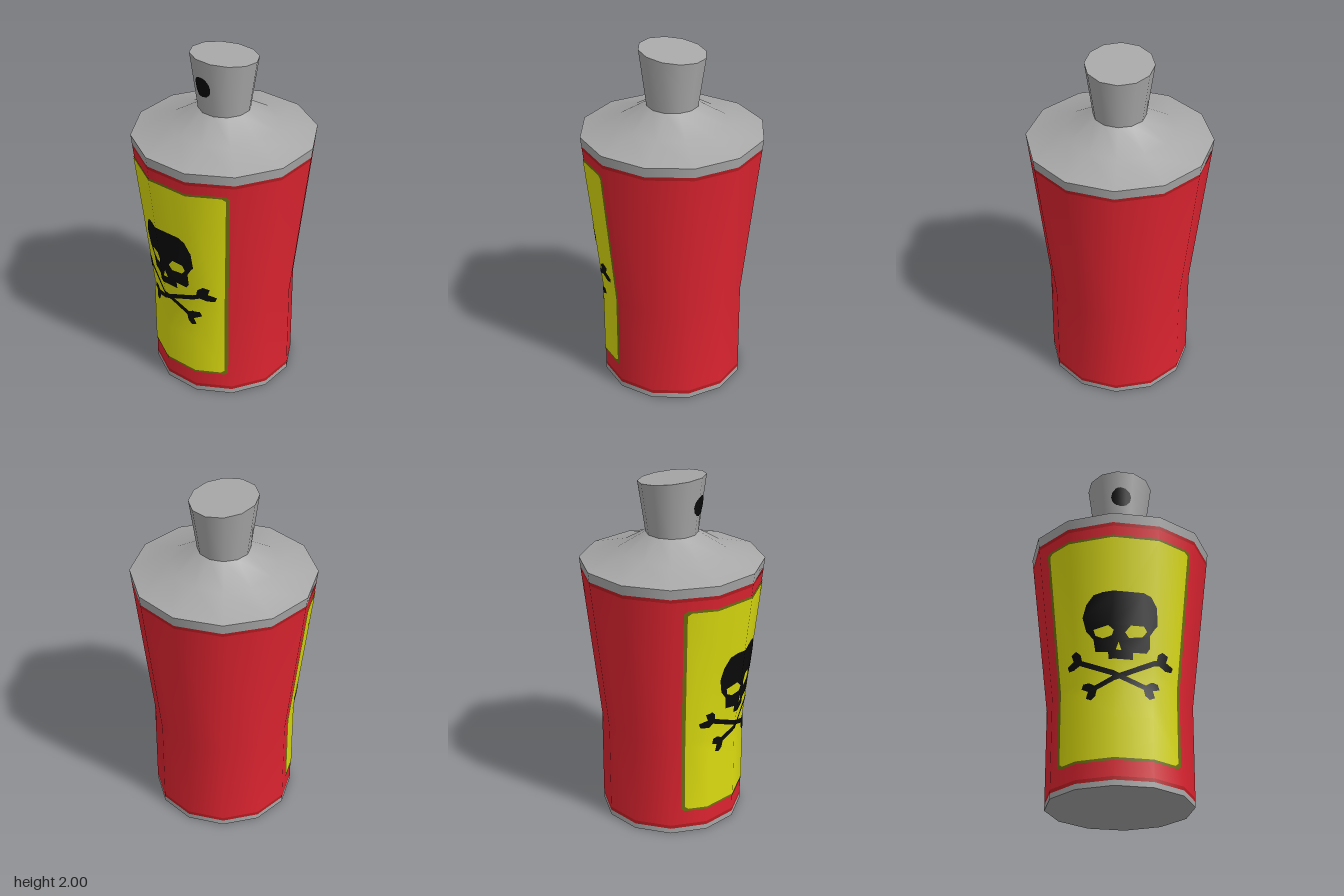
import * as THREE from 'three';

const SIDES = 12;
const mat = (name, color, side = THREE.FrontSide) => {
  const m = new THREE.MeshStandardMaterial({ color, side });
  m.name = name;
  return m;
};

// Radius of the can body and of the nozzle cap at height y
const WAIST = 0.57;
const bodyR = y => 0.405 + Math.max(0, y - WAIST) * (0.108 / 0.955);
const capR = y => 0.145 + (y - 1.675) * (0.042 / 0.325);

// Splits convex polygons by the line f = 0, keeping both halves
function split(polys, f) {
  const out = [];
  for (const poly of polys) {
    for (const s of [1, -1]) {
      const part = [];
      poly.forEach((p, i) => {
        const q = poly[(i + 1) % poly.length];
        const a = s * f(p), b = s * f(q);
        if (a >= 0) part.push(p);
        if (a * b < 0) {
          const t = a / (a - b);
          part.push([p[0] + (q[0] - p[0]) * t, p[1] + (q[1] - p[1]) * t]);
        }
      });
      if (part.length > 2 && part.some(p => s * f(p) > 1e-7)) out.push(part);
    }
  }
  return out;
}

// Lays a flat outline onto the front of the twelve-sided surface, folded at its edges
function decal(outline, holes, radius, lift) {
  const shape = new THREE.Shape(outline.map(p => new THREE.Vector2(...p)));
  for (const h of holes) shape.holes.push(new THREE.Path(h.map(p => new THREE.Vector2(...p))));
  const flat = new THREE.ShapeGeometry(shape).toNonIndexed().attributes.position;
  let polys = [];
  for (let i = 0; i < flat.count; i += 3) {
    polys.push([0, 1, 2].map(k => [flat.getX(i + k), flat.getY(i + k)]));
  }
  polys = split(polys, p => p[1] - WAIST);
  polys = split(polys, p => p[0]);
  polys = split(polys, p => p[0] - radius(p[1]) / 2);
  polys = split(polys, p => p[0] + radius(p[1]) / 2);

  const pos = [], nor = [];
  const put = ([x, y]) => {
    const r = radius(y), a = Math.abs(x);
    const z = Math.min(r - 0.268 * a, 1.366 * r - a);
    const slope = (radius(y + 0.05) - radius(y - 0.05)) / 0.1;
    const n = new THREE.Vector3(x / r, -slope, z / r).normalize();
    pos.push(x, y, z + lift);
    nor.push(n.x, n.y, n.z);
  };
  for (const p of polys) {
    for (let i = 1; i < p.length - 1; i++) [p[0], p[i], p[i + 1]].forEach(put);
  }
  const g = new THREE.BufferGeometry();
  g.setAttribute('position', new THREE.Float32BufferAttribute(pos, 3));
  g.setAttribute('normal', new THREE.Float32BufferAttribute(nor, 3));
  return g;
}

// Label outline, inset by d, with clipped corners
function labelOutline(d) {
  const c = 0.015, t = 1.395 - d, b = 0.135 + d;
  const l = y => -0.765 * bodyR(y) + d, r = y => 0.832 * bodyR(y) - d;
  return [[l(b) + c, b], [r(b) - c, b], [r(b), b + c], [r(WAIST), WAIST], [r(t), t - c],
    [r(t) - c, t], [l(t) + c, t], [l(t), t - c], [l(WAIST), WAIST], [l(b), b + c]];
}

// Bone outline with a forked knob at each end
function bone(x0, y0, x1, y1) {
  const len = Math.hypot(x1 - x0, y1 - y0), ux = (x1 - x0) / len, uy = (y1 - y0) / len;
  const end = [[0, 0], [-0.025, -0.03], [-0.005, -0.052], [0.025, -0.042], [0.045, -0.014]];
  const half = [...end, ...end.slice(1).reverse().map(([s, w]) => [len - s, w])];
  const full = [...half, ...half.map(([s, w]) => [len - s, -w])];
  return full.map(([s, w]) => [x0 + ux * s - uy * w, y0 + uy * s + ux * w]);
}

export function createModel() {
  const model = new THREE.Group();
  const grey = mat('metal grey', 0xa8a8a8);
  const red = mat('can red', 0xde2430);
  const darkRed = mat('trim dark red', 0xb81c22);
  const yellow = mat('label yellow', 0xdcdc10);
  const olive = mat('label edge olive', 0x70700f);
  const black = mat('print black', 0x0a0a0a);

  const add = (name, geometry, material) => {
    const mesh = new THREE.Mesh(geometry, material);
    mesh.name = name;
    model.add(mesh);
    return mesh;
  };
  const lathe = pts => new THREE.LatheGeometry(pts.map(p => new THREE.Vector2(...p)), SIDES);
  const wall = (...ys) => lathe(ys.map(y => [bodyR(y), y]));

  // Can body, from the base upwards
  add('base', lathe([[0, 0], [0.405, 0]]), grey);
  add('bottomRim', wall(0, 0.03), grey);
  add('lowerTrim', wall(0.03, 0.05), darkRed);
  add('body', wall(0.05, WAIST, 1.45), red);
  add('upperTrim', wall(1.45, 1.47), darkRed);
  add('topRim', wall(1.47, 1.525), grey);
  add('shoulder', lathe([[0.513, 1.525], [0.3, 1.582], [0.145, 1.675]]), grey);

  // Nozzle cap, its top sloping down to the back
  const slant = g => {
    const p = g.attributes.position;
    for (let i = 0; i < p.count; i++) {
      if (p.getY(i) > 1.9) p.setY(i, p.getY(i) + 0.122 * p.getZ(i));
    }
    g.computeVertexNormals();
    return g;
  };
  const capSide = lathe([[0.145, 1.675], [0.187, 1.978]]);
  const smooth = capSide.attributes.normal.clone();
  slant(capSide).setAttribute('normal', smooth);
  add('cap', capSide, grey);
  add('capTop', slant(lathe([[0.187, 1.978], [0, 1.978]])), grey);

  // Spray hole
  const dot = Array.from({ length: 12 }, (_, i) => {
    const a = i * Math.PI / 6;
    return [0.02 + 0.058 * Math.cos(a), 1.84 + 0.06 * Math.sin(a)];
  });
  add('sprayHole', decal(dot, [], capR, 0.004), black);

  // Label with its dark edge
  add('labelEdge', decal(labelOutline(0), [], bodyR, 0.003), olive);
  add('label', decal(labelOutline(0.014), [], bodyR, 0.005), yellow);

  // Warning sign: skull with eye and nose openings over crossed bones
  const skull = [[-0.06, 1.07], [0.16, 1.07], [0.2, 1.05], [0.23, 0.99], [0.23, 0.89], [0.19, 0.83],
    [0.19, 0.76], [0.17, 0.73], [0.1, 0.73], [0.1, 0.69], [-0.03, 0.69], [-0.03, 0.73],
    [-0.1, 0.74], [-0.11, 0.81], [-0.15, 0.86], [-0.17, 0.94], [-0.15, 1.01], [-0.11, 1.06]];
  const openings = [
    [[-0.11, 0.865], [-0.03, 0.88], [0, 0.85], [-0.01, 0.82], [-0.06, 0.81], [-0.1, 0.83]],
    [[0.06, 0.84], [0.09, 0.88], [0.16, 0.88], [0.175, 0.85], [0.15, 0.82], [0.08, 0.81]],
    [[0.025, 0.785], [0.04, 0.74], [0.01, 0.74]],
  ];
  add('skull', decal(skull, openings, bodyR, 0.007), black);
  add('boneFalling', decal(bone(-0.22, 0.705, 0.2, 0.525), [], bodyR, 0.007), black);
  add('boneRising', decal(bone(-0.14, 0.525, 0.27, 0.705), [], bodyR, 0.007), black);

  return model;
}
